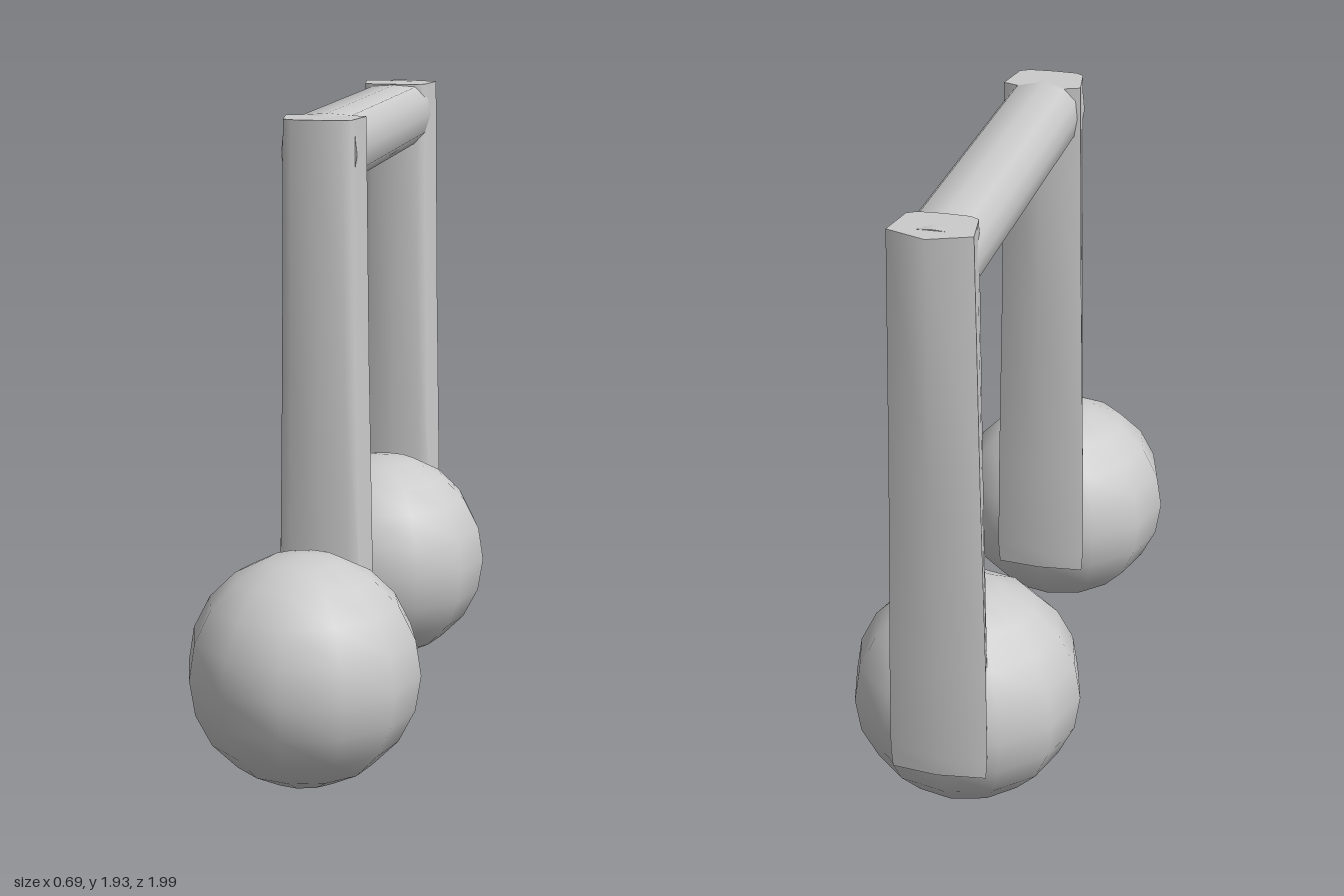
import * as THREE from 'three';
import { toCreasedNormals } from 'three/addons/utils/BufferGeometryUtils.js';

const material = new THREE.MeshStandardMaterial({ color: 0xcccccc });

// Right half of each cross-section as [x, z], from back to front
const stemHalf = [[0, -1], [1, -0.5], [0.9, 0.3], [0.84, 0.78], [0.62, 0.96], [0, 1]];
const beamHalf = [[0, -1], [0.6, -0.93], [0.92, -0.55], [1, 0], [0.95, 0.55], [0.65, 0.95], [0, 1]];

const mirrorSection = (half) => [
  ...half,
  ...half.slice(1, -1).reverse().map(([x, z]) => [-x, z]),
];

// Capped loft through rings { y, w, z0, z1, slope } stacked along y
function loft(section, rings) {
  const n = section.length;
  const positions = [];
  const index = [];
  for (const { y, w, z0, z1, slope = 0 } of rings) {
    for (const [x, z] of section) {
      positions.push(x * w, y + z * slope, (z0 + z1) / 2 + z * (z1 - z0) / 2);
    }
  }
  for (let i = 0; i < rings.length - 1; i++) {
    for (let j = 0; j < n; j++) {
      const k = (j + 1) % n;
      const a = i * n + j, b = i * n + k, c = b + n, d = a + n;
      index.push(a, c, b, a, d, c);
    }
  }
  const top = (rings.length - 1) * n;
  for (let j = 1; j < n - 1; j++) {
    index.push(0, j, j + 1, top, top + j + 1, top + j);
  }
  const geometry = new THREE.BufferGeometry();
  geometry.setAttribute('position', new THREE.Float32BufferAttribute(positions, 3));
  geometry.setIndex(index);
  return toCreasedNormals(geometry, 0.9);
}

function addMesh(parent, name, geometry) {
  const mesh = new THREE.Mesh(geometry, material);
  mesh.name = name;
  parent.add(mesh);
  return mesh;
}

export function createModel() {
  const model = new THREE.Group();
  model.name = 'beamedNotes';

  // Upright that widens and thins slightly towards its slanted foot
  const stemGeometry = loft(mirrorSection(stemHalf), [
    { y: 0.23, w: 0.14, z0: 0.295, z1: 0.42, slope: -0.02 },
    { y: 0.3, w: 0.145, z0: 0.29, z1: 0.43, slope: -0.01 },
    { y: 0.6, w: 0.142, z0: 0.287, z1: 0.442 },
    { y: 1.2, w: 0.13, z0: 0.28, z1: 0.453 },
    { y: 1.925, w: 0.12, z0: 0.27, z1: 0.465 },
  ]);
  const headGeometry = new THREE.SphereGeometry(0.347, 12, 10);

  // Two identical notes, one behind the other
  [['frontNote', 0], ['backNote', -1.265]].forEach(([name, z]) => {
    const note = new THREE.Group();
    note.name = name;
    note.position.z = z;
    addMesh(note, 'noteHead', headGeometry).position.set(0, 0.347, 0.65);
    addMesh(note, 'stem', stemGeometry);
    model.add(note);
  });

  // Rounded bar joining the tops of the stems
  const beamGeometry = loft(mirrorSection(beamHalf), [
    { y: -0.42, w: 0.112, z0: 1.725, z1: 1.92 },
    { y: -0.3, w: 0.112, z0: 1.725, z1: 1.93 },
    { y: 0.82, w: 0.112, z0: 1.718, z1: 1.922 },
    { y: 0.93, w: 0.112, z0: 1.718, z1: 1.928 },
  ]);
  beamGeometry.rotateX(-Math.PI / 2);
  addMesh(model, 'beam', beamGeometry);

  return model;
}
